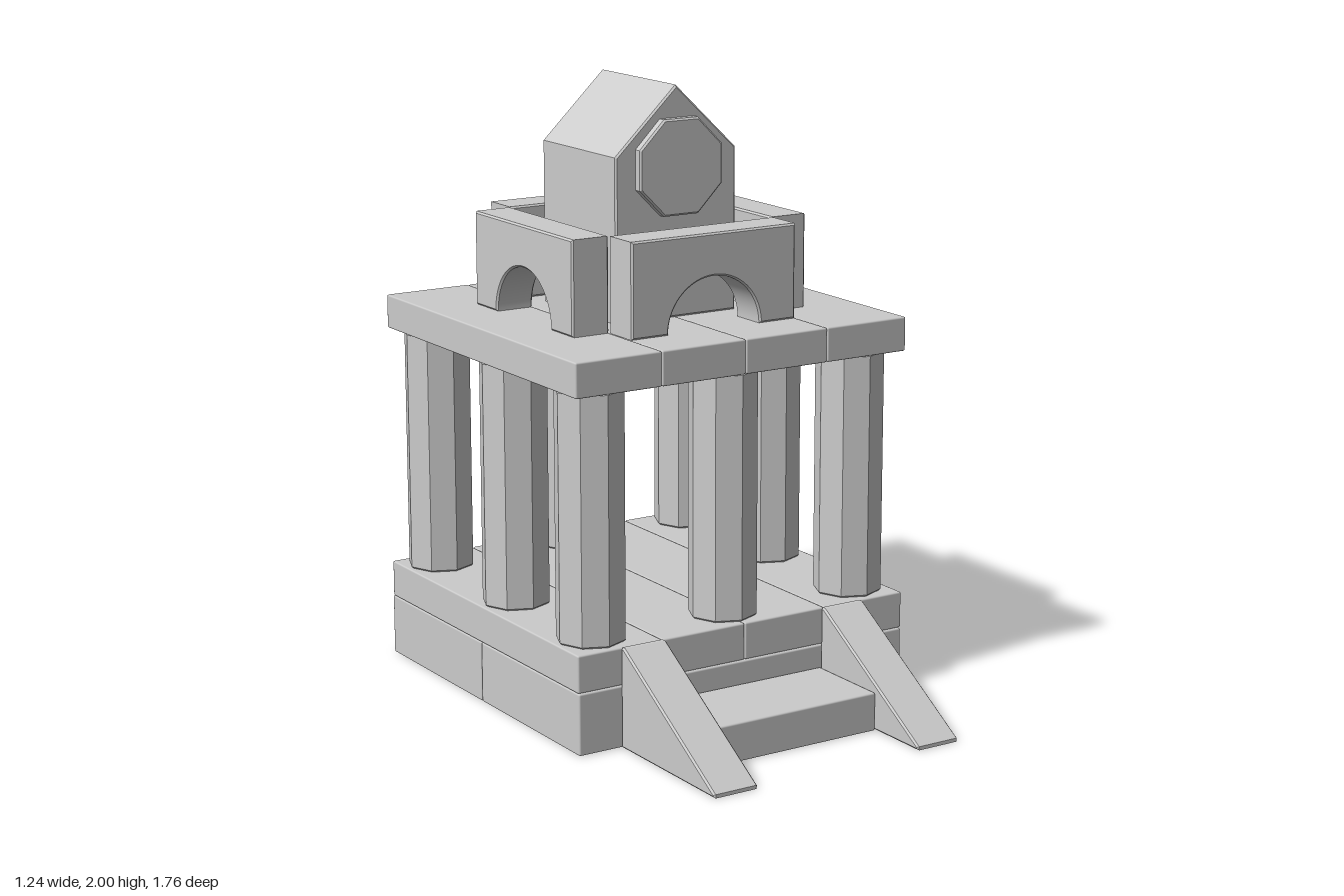
import * as THREE from 'three';
import { toCreasedNormals } from 'three/addons/utils/BufferGeometryUtils.js';
import { RoundedBoxGeometry } from 'three/addons/geometries/RoundedBoxGeometry.js';

const BEVEL = 0.006;
const MID_Z = -0.265; // centre of the temple body

export function createModel() {
  const model = new THREE.Group();
  const material = new THREE.MeshStandardMaterial({ color: 0xcccccc });

  const add = (name, geometry, x = 0, y = 0, z = 0) => {
    const mesh = new THREE.Mesh(geometry, material);
    mesh.name = name;
    mesh.position.set(x, y, z);
    model.add(mesh);
    return mesh;
  };

  // Softly bevelled block given by its limits
  const block = (name, x0, x1, y0, y1, z0, z1) =>
    add(name, new RoundedBoxGeometry(x1 - x0, y1 - y0, z1 - z0, 1, BEVEL),
      (x0 + x1) / 2, (y0 + y1) / 2, (z0 + z1) / 2);

  // Bevelled extrusion of a shape, centred on z = 0
  const prism = (shape, depth) => {
    const geometry = new THREE.ExtrudeGeometry(shape, {
      depth: depth - 2 * BEVEL, curveSegments: 24,
      bevelThickness: BEVEL, bevelSize: BEVEL, bevelOffset: -BEVEL, bevelSegments: 1,
    });
    geometry.translate(0, 0, BEVEL - depth / 2);
    return toCreasedNormals(geometry, 0.4);
  };

  const polygon = (points) => new THREE.Shape(points.map(([x, y]) => new THREE.Vector2(x, y)));

  const octagon = (radius, turn) => polygon(Array.from({ length: 8 }, (_, i) => {
    const a = i * Math.PI / 4 + turn;
    return [radius * Math.cos(a), radius * Math.sin(a)];
  }));

  // Foundation: two large blocks, one behind the other
  block('foundationFront', -0.62, 0.615, 0, 0.202, MID_Z, 0.355);
  block('foundationBack', -0.62, 0.615, 0, 0.202, -0.88, MID_Z);

  // Floor and roof: four planks each, running front to back
  for (let i = 0; i < 4; i++) {
    const x = -0.62 + i * 0.31;
    block('floorPlank', x, x + 0.309, 0.202, 0.325, -0.877, 0.35);
    block('roofPlank', x, x + 0.309, 1.137, 1.25, -0.877, 0.35);
  }

  // Octagonal columns around the edge
  const columnGeometry = prism(octagon(0.1125, 0), 0.812).rotateX(-Math.PI / 2);
  for (const x of [-0.497, -0.003, 0.49]) {
    for (const z of [0.222, -0.247, -0.758]) {
      if (x === -0.003 && z === -0.247) continue;
      add('column', columnGeometry, x, 0.731, z);
    }
  }

  // Entrance step between two sloping ramps
  block('step', -0.308, 0.29, 0, 0.127, 0.355, 0.66);
  const rampShape = polygon([[-0.88, 0], [-0.355, 0], [-0.355, 0.328], [-0.37, 0.328], [-0.88, 0.012]]);
  const rampGeometry = prism(rampShape, 0.158).rotateY(Math.PI / 2);
  add('rightRamp', rampGeometry, -0.389);
  add('leftRamp', rampGeometry, 0.371);

  // Four arch blocks standing around the tower
  const archShape = new THREE.Shape();
  archShape.moveTo(-0.308, 0);
  archShape.lineTo(-0.172, 0);
  archShape.absarc(0, 0, 0.172, Math.PI, 0, true);
  archShape.lineTo(0.308, 0);
  archShape.lineTo(0.308, 0.31);
  archShape.lineTo(-0.308, 0.31);
  const archGeometry = prism(archShape, 0.134);
  add('frontArch', archGeometry, -0.005, 1.25, 0.111);
  add('backArch', archGeometry, -0.005, 1.25, -0.642);
  add('rightArch', archGeometry, -0.38, 1.25, MID_Z).rotation.y = Math.PI / 2;
  add('leftArch', archGeometry, 0.369, 1.25, MID_Z).rotation.y = Math.PI / 2;

  // Gabled tower rising from the roof
  const towerShape = polygon([[-0.227, 1.25], [0.227, 1.25], [0.227, 1.785], [0, 2], [-0.227, 1.785]]);
  add('tower', prism(towerShape, 0.452), -0.004, 0, -0.274);

  // Octagonal discs on the tower's front and back
  const discGeometry = prism(octagon(0.168, Math.PI / 8), 0.06);
  add('frontDisc', discGeometry, -0.002, 1.741, -0.048);
  add('backDisc', discGeometry, -0.002, 1.741, -0.496);

  return model;
}
